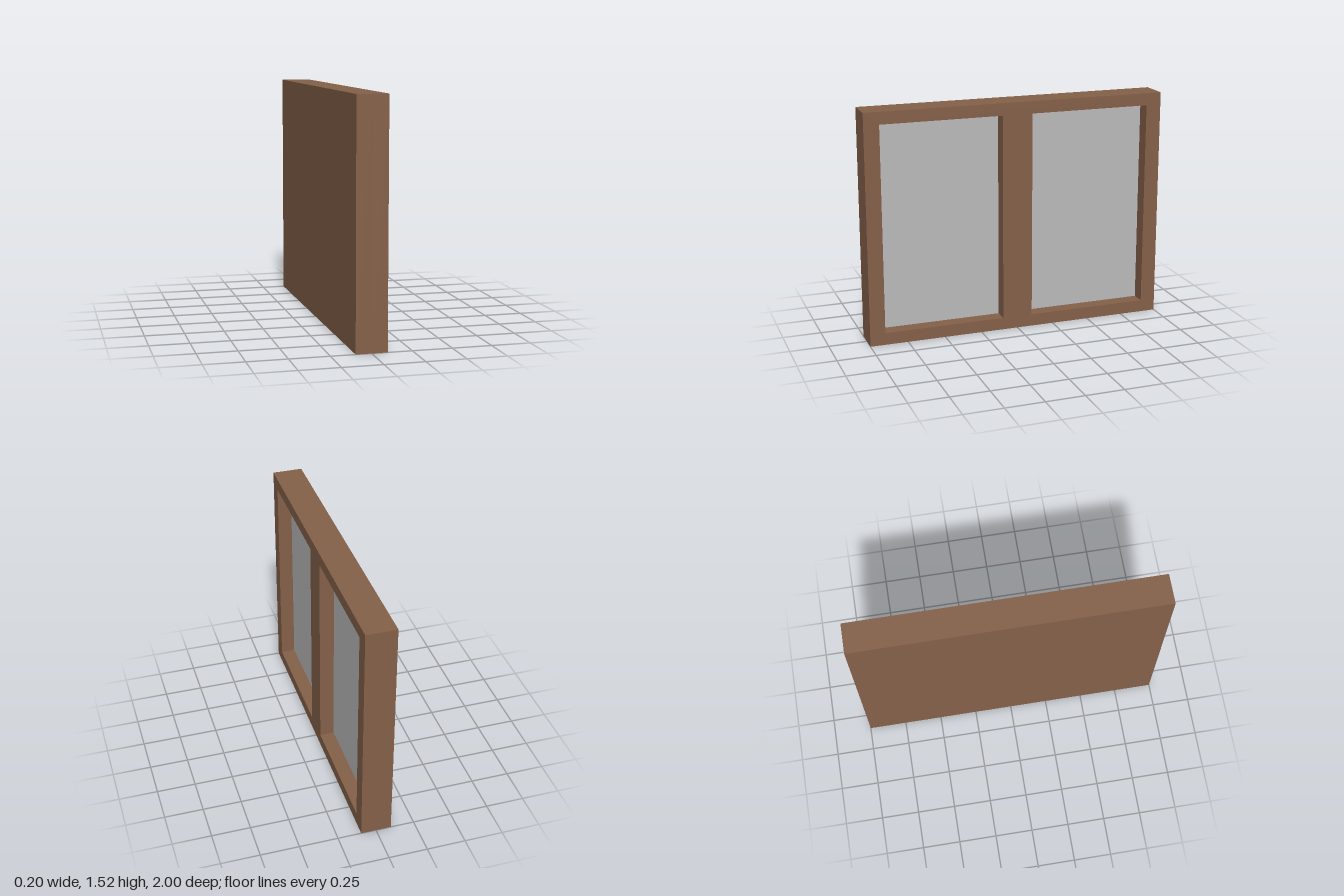
import * as THREE from 'three';

const HALF_T = 0.098, H = 1.52, HALF_W = 1;
const OPEN = { near: 0.1, far: 0.9, bottom: 0.08, top: 1.44 };

function rectPoints(x0, x1, y0, y1) {
  return [[x0, y0], [x1, y0], [x1, y1], [x0, y1]].map(([x, y]) => new THREE.Vector2(x, y));
}

export function createModel() {
  const group = new THREE.Group();
  group.name = 'twoPaneWindow';
  const wood = new THREE.MeshStandardMaterial({ name: 'brownWood', color: 0x85614a });
  const glass = new THREE.MeshStandardMaterial({ name: 'greyPane', color: 0xbcbcbc });

  const add = (name, geometry, material) => {
    const mesh = new THREE.Mesh(geometry, material);
    mesh.name = name;
    group.add(mesh);
    return mesh;
  };

  // Solid backing on the -x side
  add('backBoard', new THREE.BoxGeometry(HALF_T, H, 2 * HALF_W), wood)
    .position.set(-HALF_T / 2, H / 2, 0);

  // Frame with two openings and a centre post, facing +x
  const outline = new THREE.Shape(rectPoints(-HALF_W, HALF_W, 0, H));
  for (const side of [-1, 1]) {
    const [a, b] = [side * OPEN.near, side * OPEN.far].sort((p, q) => p - q);
    outline.holes.push(new THREE.Path(rectPoints(a, b, OPEN.bottom, OPEN.top)));
  }
  const frame = new THREE.ExtrudeGeometry(outline, { depth: HALF_T, bevelEnabled: false });
  frame.rotateY(Math.PI / 2);
  add('frame', frame, wood);

  // Recessed panes at the bottom of each opening
  const paneT = 0.004;
  for (const side of [-1, 1]) {
    const pane = new THREE.BoxGeometry(paneT, OPEN.top - OPEN.bottom, OPEN.far - OPEN.near);
    add(side > 0 ? 'frontPane' : 'backPane', pane, glass)
      .position.set(paneT / 2, (OPEN.top + OPEN.bottom) / 2, side * (OPEN.near + OPEN.far) / 2);
  }
  return group;
}
